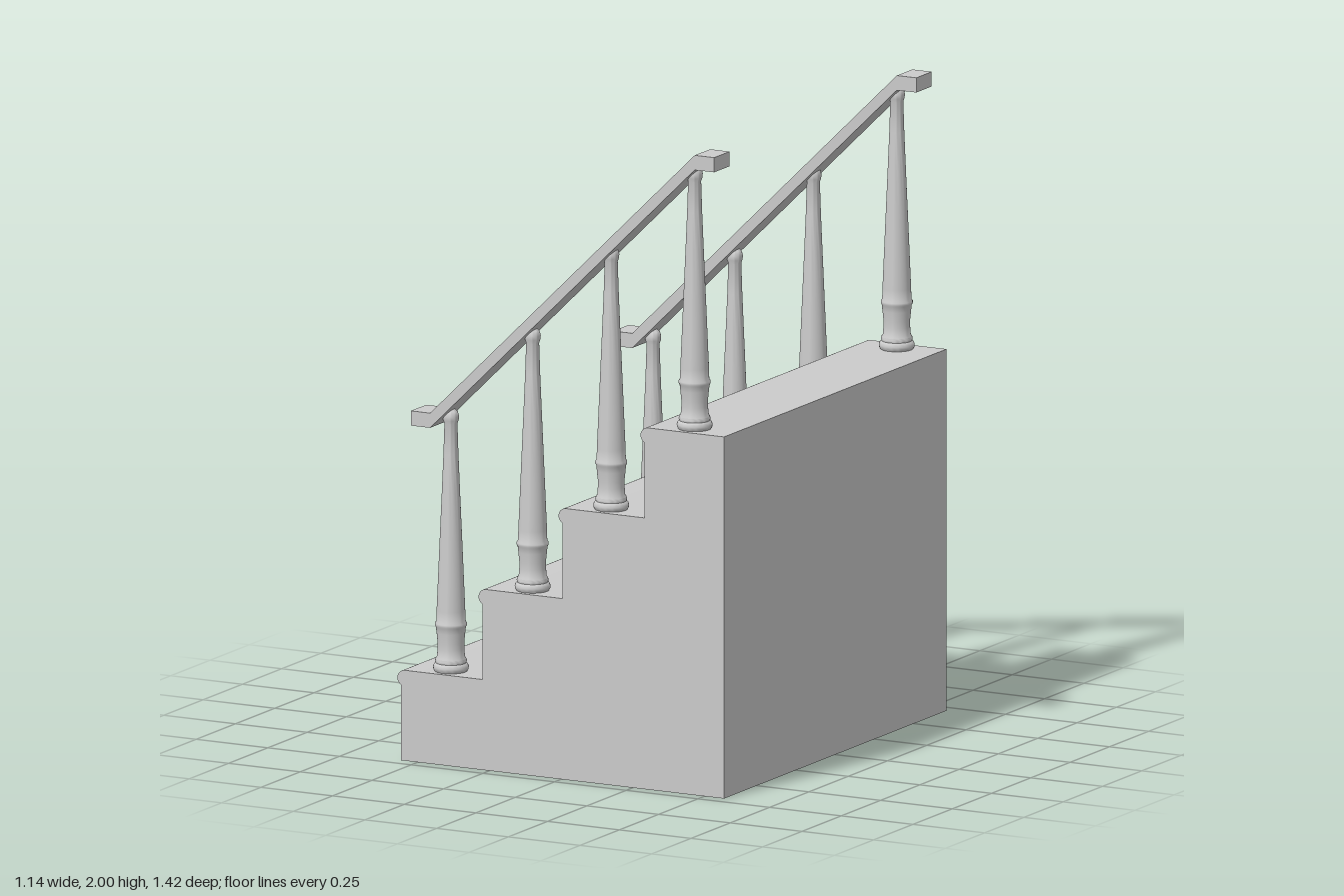
import * as THREE from 'three';
import { toCreasedNormals } from 'three/addons/utils/BufferGeometryUtils.js';

const RISE = 0.2832, HALF_DEPTH = 0.708, BACK = 0.568;
const RISERS = [-0.558, -0.275, 0.004, 0.29];
const BALUSTERS = [-0.42, -0.135, 0.139, 0.43];
const RAIL_Z = 0.643;

const material = new THREE.MeshStandardMaterial({ color: 0xcccccc });

function addMesh(parent, geometry, name) {
  const mesh = new THREE.Mesh(geometry, material);
  mesh.name = name;
  parent.add(mesh);
  return mesh;
}

// Extrude an x-y outline along z, centred on z = 0
function extrude(shape, depth) {
  const g = new THREE.ExtrudeGeometry(shape, { depth, bevelEnabled: false, curveSegments: 12 });
  g.translate(0, 0, -depth / 2);
  return toCreasedNormals(g, Math.PI / 5);
}

// Solid stair block with a rounded nosing on every tread
function stairGeometry() {
  const r = 0.025, inset = 0.012;
  const start = Math.PI + Math.acos(inset / r);
  const s = new THREE.Shape();
  s.moveTo(BACK, 0);
  s.lineTo(RISERS[0], 0);
  RISERS.forEach((x, i) => {
    const top = RISE * (i + 1);
    s.lineTo(x, top - r - r * Math.sin(Math.acos(inset / r)));
    s.absarc(x + inset, top - r, r, start, Math.PI / 2, true);
    s.lineTo(i < 3 ? RISERS[i + 1] : BACK, top);
  });
  s.lineTo(BACK, 0);
  return extrude(s, HALF_DEPTH * 2);
}

// Sloping handrail with short level ends
function railGeometry() {
  const t = 0.046;
  const top = [[-0.533, 1.094], [-0.466, 1.094], [0.457, 2], [0.525, 2]];
  const outline = [...top, ...top.map(([x, y]) => [x, y - t]).reverse()];
  return extrude(new THREE.Shape(outline.map(([x, y]) => new THREE.Vector2(x, y))), 0.098);
}

// Turned baluster: foot ring, flared base, collar, tapering shaft, rounded head
function balusterGeometry() {
  const profile = [
    [0, 0], [0.05, 0], [0.054, 0.006], [0.055, 0.014], [0.052, 0.022], [0.047, 0.026],
    [0.049, 0.032], [0.047, 0.039], [0.043, 0.045], [0.041, 0.07], [0.041, 0.09], [0.044, 0.12],
    [0.046, 0.138], [0.049, 0.143], [0.049, 0.15], [0.045, 0.156],
    [0.044, 0.19], [0.041, 0.26], [0.035, 0.4], [0.028, 0.56], [0.023, 0.68], [0.02, 0.775],
    [0.024, 0.786], [0.025, 0.798], [0.021, 0.812], [0.012, 0.82], [0, 0.822],
  ];
  const g = new THREE.LatheGeometry(profile.map(([x, y]) => new THREE.Vector2(x, y)), 32);
  return toCreasedNormals(g, Math.PI / 4);
}

export function createModel() {
  const model = new THREE.Group();
  model.name = 'staircase';
  addMesh(model, stairGeometry(), 'steps');

  const rail = railGeometry(), baluster = balusterGeometry();
  for (const side of [1, -1]) {
    const railing = new THREE.Group();
    railing.name = side > 0 ? 'frontRailing' : 'backRailing';
    railing.position.z = side * RAIL_Z;
    addMesh(railing, rail, 'handrail');
    BALUSTERS.forEach((x, i) => {
      addMesh(railing, baluster, 'baluster').position.set(x, RISE * (i + 1), 0);
    });
    model.add(railing);
  }
  return model;
}
